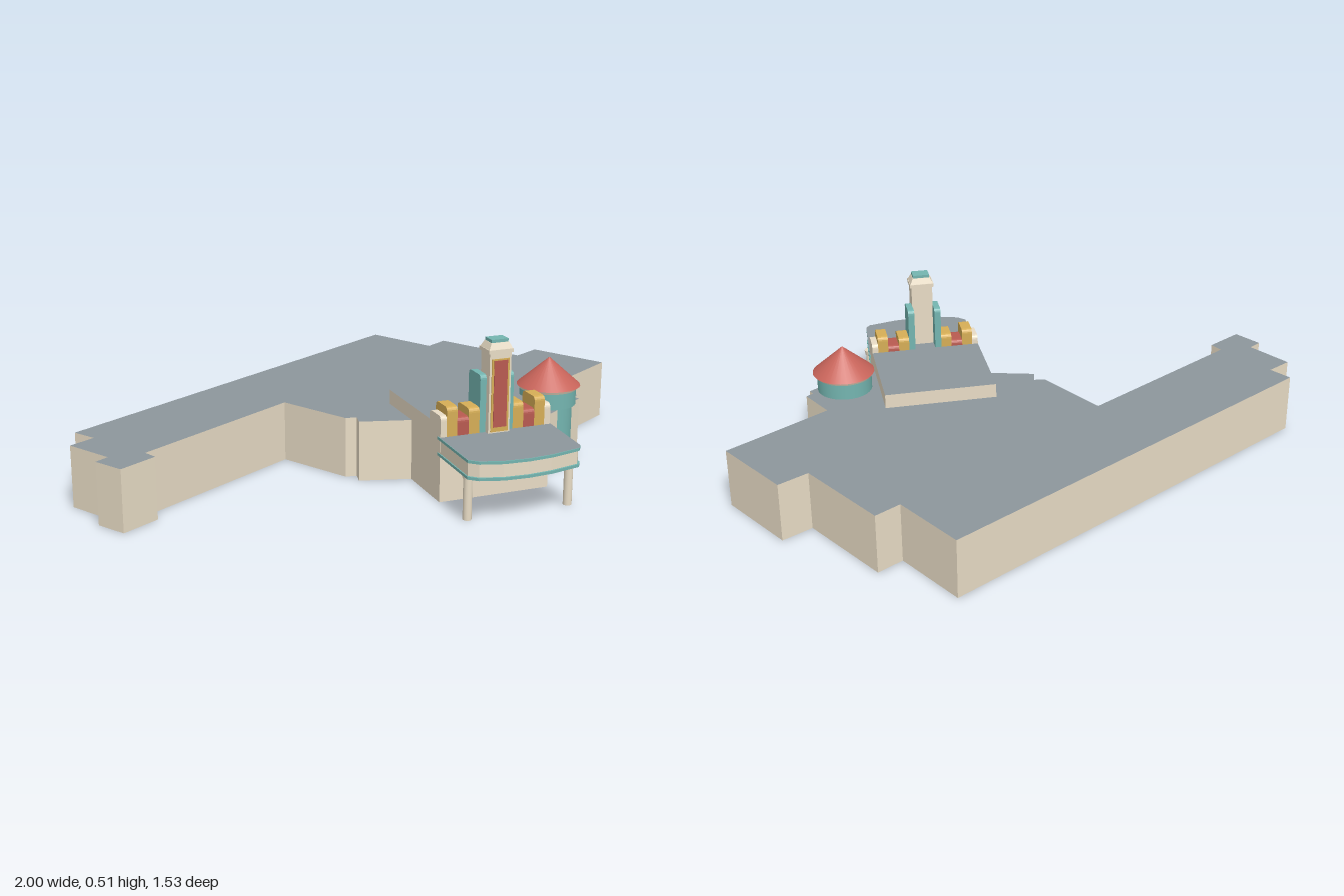
import * as THREE from 'three';

const mat = (color) => new THREE.MeshStandardMaterial({ color, side: THREE.DoubleSide });
const CREAM = mat(0xe8dcc5), ROOF = mat(0x8d969c), TEAL = mat(0x74b5b0);
const RED = mat(0xc8645a), GOLD = mat(0xd6ae56), PANEL = mat(0xb85a50);

function add(parent, name, geometry, material, x = 0, y = 0, z = 0) {
  const mesh = new THREE.Mesh(geometry, material);
  mesh.name = name;
  mesh.position.set(x, y, z);
  parent.add(mesh);
  return mesh;
}

// Flat polygon or prism from plan points [x, z]
const plan = (pts) => new THREE.Shape(pts.map(([x, z]) => new THREE.Vector2(x, -z)));
const slab = (pts, h) =>
  new THREE.ExtrudeGeometry(plan(pts), { depth: h, bevelEnabled: false }).rotateX(-Math.PI / 2);

// Hollow building without a floor: upright walls and a flat roof
function hollowBlock(parent, name, pts, h) {
  const group = new THREE.Group();
  group.name = name;
  const v = [];
  pts.forEach(([ax, az], i) => {
    const [bx, bz] = pts[(i + 1) % pts.length];
    v.push(ax, 0, az, bx, h, bz, bx, 0, bz, ax, 0, az, ax, h, az, bx, h, bz);
  });
  // points run clockwise seen from above; corners are ordered to face outwards
  const walls = new THREE.BufferGeometry();
  walls.setAttribute('position', new THREE.Float32BufferAttribute(v, 3));
  walls.computeVertexNormals();
  add(group, name + 'Walls', walls, CREAM);
  add(group, name + 'Roof', new THREE.ShapeGeometry(plan(pts)).rotateX(-Math.PI / 2), ROOF, 0, h, 0);
  parent.add(group);
}

// Upright block with rounded front and back top edges, extruded along x
function roundedBlock(x0, x1, y0, y1, z0, z1, r) {
  const s = new THREE.Shape();
  s.moveTo(-z0, y0);
  s.lineTo(-z0, y1 - r);
  s.quadraticCurveTo(-z0, y1, -z0 - r, y1);
  s.lineTo(-z1 + r, y1);
  s.quadraticCurveTo(-z1, y1, -z1, y1 - r);
  s.lineTo(-z1, y0);
  return new THREE.ExtrudeGeometry(s, { depth: x1 - x0, bevelEnabled: false, curveSegments: 5 })
    .rotateY(Math.PI / 2).translate(x0, 0, 0);
}

export function createModel() {
  const model = new THREE.Group();

  // Long angled hall
  hollowBlock(model, 'mainHall', [
    [0.37, -0.765], [0.5, -0.535], [0.583, -0.583], [0.754, -0.29], [0.853, -0.342], [1, -0.093],
    [0.655, 0.112], [0.714, 0.23], [0.69, 0.245], [0.7, 0.265], [0.505, 0.395], [0.482, 0.355],
    [0.46, 0.37], [0.078, 0.273], [-0.088, 0.227], [-0.078, 0.182], [-0.115, 0.176],
    [-0.246, -0.056], [-0.8, 0.27], [-0.78, 0.315], [-0.901, 0.385], [-0.957, 0.294],
    [-0.914, 0.267], [-1, 0.12], [-0.917, 0.075], [-0.963, 0.003],
  ], 0.203);

  // Entrance building
  hollowBlock(model, 'entrance', [[0.078, 0.085], [0.46, 0.085], [0.46, 0.498], [0.078, 0.498]], 0.252);

  // Canopy: cream fascia between two teal trims, grey top
  const canopy = new THREE.Group();
  canopy.name = 'canopy';
  const edge = [[0.08, 0.48], [0.074, 0.705], [0.1, 0.73], [0.17, 0.752], [0.25, 0.758],
    [0.33, 0.752], [0.43, 0.73], [0.444, 0.71], [0.46, 0.48]];
  const grown = edge.map(([x, z]) => [0.267 + (x - 0.267) * 1.02, 0.48 + (z - 0.48) * 1.025]);
  add(canopy, 'canopyFascia', slab(edge, 0.05), CREAM, 0, 0.158, 0);
  add(canopy, 'canopyLowerTrim', slab(grown, 0.009), TEAL, 0, 0.152, 0);
  add(canopy, 'canopyUpperTrim', slab(grown, 0.009), TEAL, 0, 0.204, 0);
  add(canopy, 'canopyTop', new THREE.ShapeGeometry(plan(grown)).rotateX(-Math.PI / 2), ROOF, 0, 0.2145, 0);
  for (const x of [0.099, 0.445]) {
    add(canopy, 'canopyPost', new THREE.CylinderGeometry(0.014, 0.014, 0.152, 16), CREAM, x, 0.076, 0.656);
    add(canopy, 'postCapital', new THREE.CylinderGeometry(0.019, 0.016, 0.018, 16), CREAM, x, 0.143, 0.656);
  }
  model.add(canopy);

  // Stepped parapet on both sides of the pylon
  const parapet = new THREE.Group();
  parapet.name = 'parapet';
  const steps = [
    ['parapetEnd', 0.17, 0.191, 0.283, CREAM], ['outerGoldBlock', 0.134, 0.17, 0.31, GOLD],
    ['redBlock', 0.095, 0.134, 0.272, PANEL], ['innerGoldBlock', 0.058, 0.095, 0.298, GOLD],
    ['tealFin', 0.036, 0.058, 0.402, TEAL],
  ];
  for (const side of [1, -1])
    for (const [name, a, b, top, material] of steps) {
      const [x0, x1] = side > 0 ? [a, b] : [-b, -a];
      add(parapet, name, roundedBlock(x0, x1, 0.2, top, 0.416, 0.499, 0.016), material, 0.269, 0, 0);
    }
  model.add(parapet);

  // Central pylon with framed panel and stepped cap
  const pylon = new THREE.Group();
  pylon.name = 'pylon';
  pylon.position.set(0.269, 0, 0.488);
  add(pylon, 'pylonShaft', new THREE.BoxGeometry(0.074, 0.272, 0.06), CREAM, 0, 0.338, 0);
  add(pylon, 'panelFrame', new THREE.BoxGeometry(0.06, 0.236, 0.006), GOLD, 0, 0.337, 0.03);
  add(pylon, 'redPanel', new THREE.BoxGeometry(0.046, 0.216, 0.008), PANEL, 0, 0.342, 0.031);
  add(pylon, 'capBand', new THREE.BoxGeometry(0.084, 0.012, 0.07), CREAM, 0, 0.479, 0);
  const taper = new THREE.CylinderGeometry(0.76 * Math.SQRT1_2, Math.SQRT1_2, 1, 4, 1).rotateY(Math.PI / 4)
    .scale(0.08, 0.02, 0.064).toNonIndexed();
  taper.computeVertexNormals();
  add(pylon, 'capTaper', taper, CREAM, 0, 0.495, 0);
  add(pylon, 'capTop', new THREE.BoxGeometry(0.058, 0.01, 0.044), TEAL, 0, 0.51, 0);
  model.add(pylon);

  // Round turret
  const turret = new THREE.Group();
  turret.name = 'turret';
  turret.position.set(0.577, 0, 0.266);
  add(turret, 'turretColumn', new THREE.CylinderGeometry(0.086, 0.086, 0.21, 32), TEAL, -0.004, 0.105, 0);
  add(turret, 'turretDrum', new THREE.CylinderGeometry(0.094, 0.094, 0.056, 32), TEAL, 0, 0.233, 0);
  add(turret, 'turretCornice', new THREE.CylinderGeometry(0.102, 0.097, 0.01, 32), CREAM, 0, 0.264, 0);
  add(turret, 'turretRoof', new THREE.ConeGeometry(0.106, 0.094, 32), RED, 0.002, 0.316, 0);
  model.add(turret);

  return model;
}
